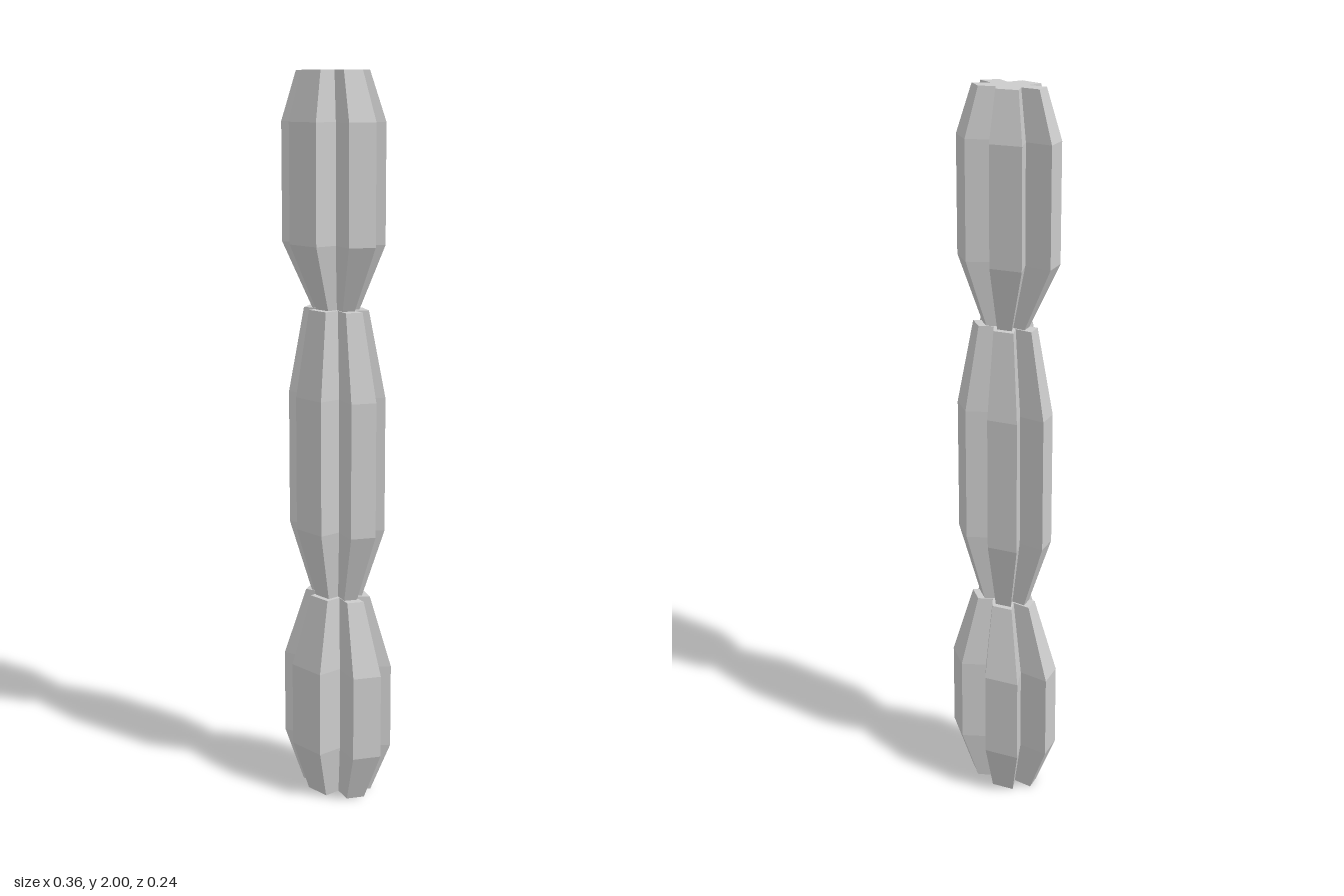
import * as THREE from 'three';

// Right half of the five-ribbed star section [x, z], from the front rib to the back valley
const half = [
  [0.052, 0.102], [0.055, 0.036], [0.13, 0.06], [0.163, -0.004],
  [0.086, -0.022], [0.13, -0.072], [0.048, -0.11],
];
const star = [...half, [0.003, -0.065], ...half.map(([x, z]) => [-x, z]).reverse()];

// Closed ribbed body: the star section scaled and shifted at each ring [y, scale, x, z]
function ribbedSegment(rings) {
  const positions = [];
  const loops = rings.map(([y, s, cx, cz]) => star.map(([x, z]) => [x * s + cx, y, z * s + cz]));
  const tri = (a, b, c) => positions.push(...a, ...b, ...c);
  const n = star.length;
  for (let r = 0; r < loops.length - 1; r++) {
    const low = loops[r], high = loops[r + 1];
    for (let i = 0; i < n; i++) {
      const j = (i + 1) % n;
      tri(low[i], low[j], high[j]);
      tri(low[i], high[j], high[i]);
    }
  }
  // Flat end caps
  const contour = star.map(([x, z]) => new THREE.Vector2(x, -z));
  const bottom = loops[0], top = loops[loops.length - 1];
  for (const [a, b, c] of THREE.ShapeUtils.triangulateShape(contour, [])) {
    tri(top[a], top[b], top[c]);
    tri(bottom[a], bottom[c], bottom[b]);
  }
  const geometry = new THREE.BufferGeometry();
  geometry.setAttribute('position', new THREE.Float32BufferAttribute(positions, 3));
  geometry.computeVertexNormals();
  return geometry;
}

const segments = {
  lowerSegment: [[0, 0.7, 0.001, 0], [0.143, 1.095, 0, 0], [0.38, 1.095, 0, 0], [0.58, 0.65, 0.005, 0]],
  middleSegment: [[0.58, 0.51, 0.002, 0], [0.775, 0.955, 0.003, 0.004], [1.145, 0.955, 0.003, 0.004], [1.38, 0.635, 0.003, 0.004]],
  upperSegment: [[1.38, 0.46, 0, 0.002], [1.555, 1, 0.001, 0.015], [1.87, 1, 0.001, 0.015], [2, 0.7, 0.001, 0.015]],
};

export function createModel() {
  const model = new THREE.Group();
  model.name = 'cactusColumn';
  const material = new THREE.MeshStandardMaterial({ color: 0xcccccc, flatShading: true });
  for (const [name, rings] of Object.entries(segments)) {
    const mesh = new THREE.Mesh(ribbedSegment(rings), material);
    mesh.name = name;
    model.add(mesh);
  }
  return model;
}
